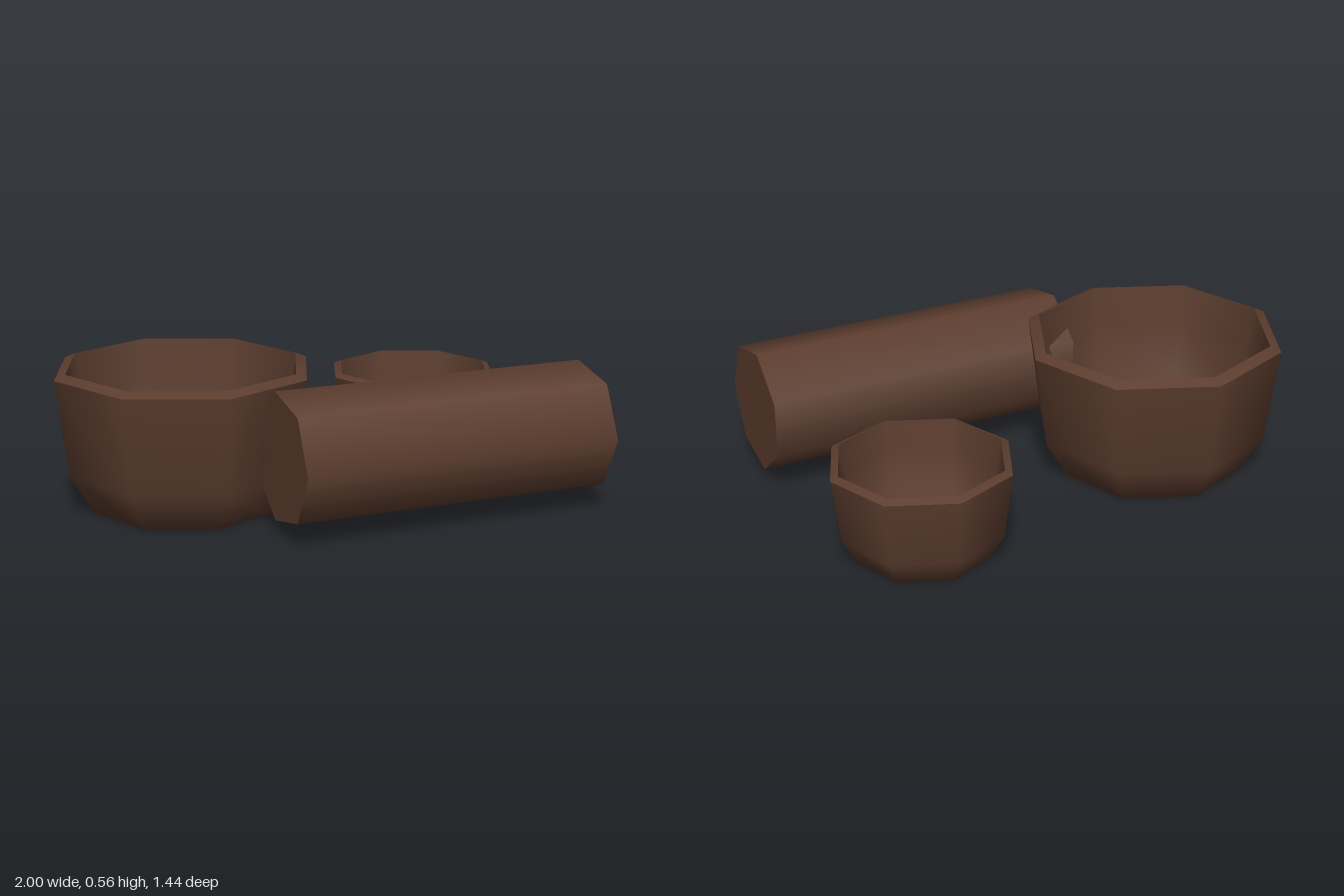
import * as THREE from 'three';

const wood = new THREE.MeshStandardMaterial({ color: 0x5c3d2e });
wood.name = 'dark brown wood';

// Smooth eight-sided surface turned around a vertical axis
function turned(name, points) {
  const profile = points.map(([r, y]) => new THREE.Vector2(r, y));
  const mesh = new THREE.Mesh(new THREE.LatheGeometry(profile, 8), wood);
  mesh.name = name;
  return mesh;
}

// Bowl of rim radius 0.52 and height 0.565 before scaling
function bowl(name, x, z, radius, height) {
  const group = new THREE.Group();
  group.name = name;
  group.add(
    turned('outerWall', [[0, 0], [0.375, 0], [0.47, 0.16], [0.52, 0.545]]),
    turned('rim', [[0.52, 0.545], [0.475, 0.565]]),
    turned('innerWall', [[0.475, 0.565], [0.45, 0.4], [0.42, 0.18], [0.33, 0.05], [0, 0.04]]),
  );
  group.scale.set(radius / 0.52, height / 0.565, radius / 0.52);
  group.position.set(x, 0, z);
  return group;
}

export function createModel() {
  const model = new THREE.Group();
  model.name = 'bowlsAndLog';

  model.add(bowl('largeBowl', -0.48, -0.1, 0.52, 0.565));
  model.add(bowl('smallBowl', 0.642, -0.358, 0.358, 0.388));

  // Seven-sided log lying along x, one corner cutting into the large bowl
  const geometry = new THREE.CylinderGeometry(0.257, 0.257, 1.295, 7);
  geometry.rotateZ(Math.PI / 2);
  const log = new THREE.Mesh(geometry, wood);
  log.name = 'log';
  log.position.set(0.347, 0.303, 0.463);
  model.add(log);

  return model;
}
